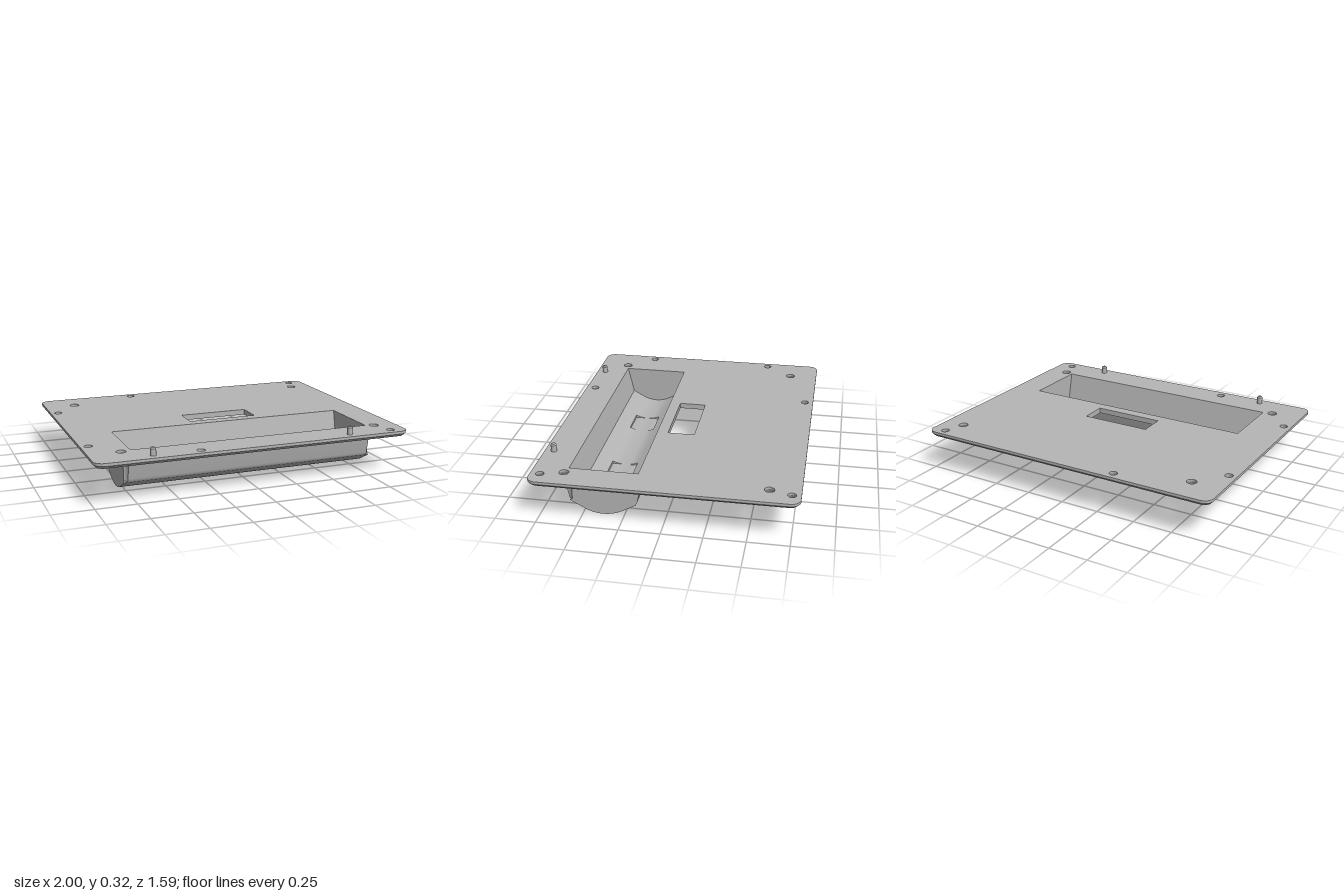
import * as THREE from 'three';
import { toCreasedNormals } from 'three/addons/utils/BufferGeometryUtils.js';

const TOP = 0.275, EDGE = 0.258, BOTTOM = 0.24;
const grey = new THREE.MeshStandardMaterial({ color: 0xb6b6b6 });
grey.name = 'grey plastic';

function mesh(name, geometry) {
  const m = new THREE.Mesh(geometry, grey);
  m.name = name;
  return m;
}

// Skin a row of cross-sections (arrays of [x, y, z]) with quads
function loft(sections, flip) {
  const pos = [];
  for (let s = 0; s < sections.length - 1; s++) {
    const A = sections[s], B = sections[s + 1];
    for (let i = 0; i < A.length - 1; i++) {
      const q = [A[i], A[i + 1], B[i + 1], B[i]];
      for (const k of flip ? [0, 2, 1, 0, 3, 2] : [0, 1, 2, 0, 2, 3]) pos.push(...q[k]);
    }
  }
  const g = new THREE.BufferGeometry();
  g.setAttribute('position', new THREE.Float32BufferAttribute(pos, 3));
  return toCreasedNormals(g, 0.45);
}

// Contours are [x, z] loops
function circle(x, z, r, n = 28) {
  return Array.from({ length: n }, (_, i) => {
    const a = (i / n) * Math.PI * 2;
    return [x + r * Math.cos(a), z + r * Math.sin(a)];
  });
}
function roundedRect(w, d, r) {
  const out = [];
  [[1, 1], [-1, 1], [-1, -1], [1, -1]].forEach(([sx, sz], q) => {
    for (let i = 0; i <= 8; i++) {
      const a = (q + i / 8) * Math.PI / 2;
      out.push([sx * (w - r) + r * Math.cos(a), sz * (d - r) + r * Math.sin(a)]);
    }
  });
  return out;
}
const rect = (x0, x1, z0, z1) => [[x1, z1], [x0, z1], [x0, z0], [x1, z0]];
const atHeight = (loop, y) => [...loop, loop[0]].map(([x, z]) => [x, y, z]);

// Flat face with holes, facing up or down
function face(outline, holes, y, up) {
  const s = up ? -1 : 1;
  const points = loop => loop.map(([x, z]) => new THREE.Vector2(x, s * z));
  const shape = new THREE.Shape(points(outline));
  shape.holes = holes.map(h => new THREE.Path(points(h)));
  return new THREE.ShapeGeometry(shape).rotateX(s * Math.PI / 2).translate(0, y, 0);
}

// Screw holes: x, z, radius above, radius of the countersink below
const screws = [
  [-0.8, -0.61, 0.03, 0.041], [0.86, -0.61, 0.03, 0.041],
  [-0.8, 0.6, 0.03, 0.041], [0.86, 0.6, 0.03, 0.041],
  [-0.36, -0.74, 0.025, 0.036], [0.9, -0.74, 0.025, 0.036],
  [-0.36, 0.735, 0.025, 0.036], [0.9, 0.735, 0.025, 0.036],
  [-0.95, -0.43, 0.025, 0.031], [-0.95, 0.425, 0.025, 0.031],
];

function buildPlate() {
  const plate = new THREE.Group();
  plate.name = 'plate';
  const outer = roundedRect(1, 0.795, 0.06), inset = roundedRect(0.982, 0.777, 0.045);
  const windowHole = rect(-0.2, 0.25, -0.075, 0.095);
  const troughHole = rect(-0.74, 0.805, 0.165, 0.585);
  const upper = screws.map(([x, z, r]) => circle(x, z, r));
  const lower = screws.map(([x, z, , r]) => circle(x, z, r));

  plate.add(
    mesh('plateTop', face(outer, [...upper, windowHole, troughHole], TOP, true)),
    // the underside stops at a narrower trough slot, hidden by the trough walls
    mesh('plateUnderside', face(inset, [...lower, windowHole, rect(-0.7, 0.77, 0.2, 0.54)], BOTTOM, false)),
    mesh('plateEdge', loft([atHeight(inset, BOTTOM), atHeight(outer, EDGE), atHeight(outer, TOP)], true)),
    mesh('windowWalls', loft([atHeight(windowHole, BOTTOM), atHeight(windowHole, TOP)], false)),
  );
  upper.forEach((loop, i) => plate.add(mesh('screwHole',
    loft([atHeight(lower[i], BOTTOM), atHeight(loop, 0.262), atHeight(loop, TOP)], false))));
  return plate;
}

// Height of the trough floor: round in the middle, sloping straight beyond
function floorY(d, base, R, half) {
  const a = Math.abs(d), c = Math.min(a, half);
  return base + R - Math.sqrt(R * R - c * c) + 0.55 * (a - c);
}

function buildTrough() {
  const trough = new THREE.Group();
  trough.name = 'trough';

  // Outer shell, with its front corners cut away around the screws
  const mid = 0.38;
  const outer = [[0.14, BOTTOM], [0.167, 0.105], [0.172, 0.092]];
  for (let i = -10; i <= 10; i++) outer.push([mid + i * 0.02, floorY(i * 0.02, 0, 0.241, 0.116)]);
  outer.push([0.588, 0.0855], [0.592, 0.1], [0.62, BOTTOM]);
  const shellAt = (x, cut) => outer.map(([z, y]) => {
    if (!cut || y < 0.085 || z < mid) return [x, y, z];
    const dx = Math.abs(x > 0 ? 0.86 - x : -0.8 - x);
    return [x, y, Math.min(z, 0.6 - Math.sqrt(Math.max(0, 0.0016 - dx * dx)))];
  });
  const point = (list, x, y) => list.map(() => [x, y, mid]);
  trough.add(mesh('troughShell', loft([
    point(outer, -0.78, BOTTOM),
    ...[-0.78, -0.773, -0.766, -0.762, -0.76].map(x => shellAt(x, true)),
    shellAt(-0.76, false), shellAt(0.82, false),
    ...[0.82, 0.822, 0.826, 0.833, 0.84].map(x => shellAt(x, true)),
    point(outer, 0.84, BOTTOM),
  ], true)));

  // Inner hollow with two flat pockets in the floor: [z, y, in pocket]
  const c = 0.375, base = 0.035, w = 0.0825;
  const inY = d => floorY(d, base, 0.206, 0.1);
  const inner = [[0.165, TOP], [0.205, inY(0.17)]];
  for (const d of [-0.13, -0.1]) inner.push([c + d, inY(d)]);
  inner.push([c - w, inY(w)]);
  for (let i = -6; i <= 6; i++) inner.push([c + i * w / 6, inY(i * w / 6), true]);
  inner.push([c + w, inY(w)]);
  for (const d of [0.1, 0.13]) inner.push([c + d, inY(d)]);
  inner.push([0.545, inY(0.17)], [0.585, TOP]);
  const hollowAt = (x, pocket) => inner.map(([z, y, p]) => [x, pocket && p ? base : y, z]);
  const sections = [point(inner, -0.74, TOP), hollowAt(-0.74)];
  for (const [a, b] of [[-0.42, -0.22], [0.28, 0.48]]) {
    sections.push(hollowAt(a), hollowAt(a, true), hollowAt(b, true), hollowAt(b));
  }
  sections.push(hollowAt(0.805), point(inner, 0.805, TOP));
  trough.add(mesh('troughHollow', loft(sections, false)));
  return trough;
}

// Locating pin with a chamfered tip
function buildPin(x) {
  const profile = [[0.018, 0], [0.018, 0.042], [0.012, 0.05], [0, 0.05]];
  const g = new THREE.LatheGeometry(profile.map(p => new THREE.Vector2(...p)), 24);
  const pin = mesh('locatingPin', toCreasedNormals(g, 0.45));
  pin.position.set(x, TOP, 0.738);
  return pin;
}

export function createModel() {
  const model = new THREE.Group();
  model.name = 'mountingPlate';
  model.add(buildPlate(), buildTrough(), buildPin(-0.65), buildPin(0.61));
  return model;
}
